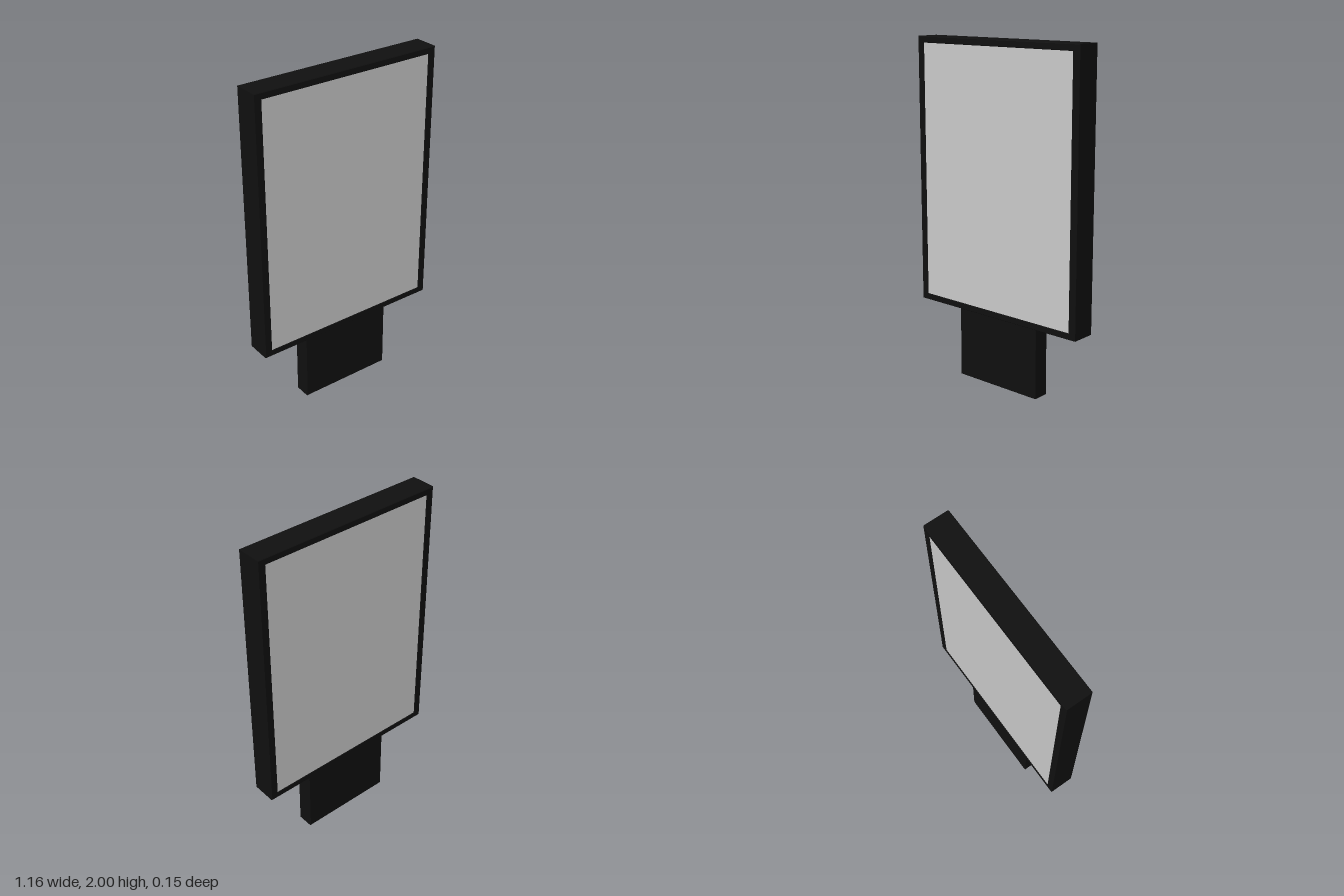
import * as THREE from 'three';

// Rectangle outline centred on x = 0
function trace(path, halfW, y0, y1) {
  path.moveTo(-halfW, y0);
  path.lineTo(halfW, y0);
  path.lineTo(halfW, y1);
  path.lineTo(-halfW, y1);
  path.closePath();
  return path;
}

// Extrusion centred on z = 0 with a fine chamfer that keeps the outer size
function slab(shape, depth, bevel) {
  const geometry = new THREE.ExtrudeGeometry(shape, {
    depth: depth - 2 * bevel,
    bevelEnabled: true,
    bevelThickness: bevel,
    bevelSize: bevel,
    bevelOffset: -bevel,
    bevelSegments: 1,
  });
  return geometry.translate(0, 0, -depth / 2 + bevel);
}

export function createModel() {
  const group = new THREE.Group();
  const black = new THREE.MeshStandardMaterial({ color: 0x101010 });
  const grey = new THREE.MeshStandardMaterial({ color: 0xcccccc });

  const add = (name, geometry, material) => {
    const mesh = new THREE.Mesh(geometry, material);
    mesh.name = name;
    group.add(mesh);
    return mesh;
  };

  // Rectangular frame open through the middle
  const outline = trace(new THREE.Shape(), 0.58, 0.425, 2);
  outline.holes.push(trace(new THREE.Path(), 0.535, 0.462, 1.963));
  add('frame', slab(outline, 0.15, 0.003), black);

  // Poster panels, one on each face, set just inside the frame
  for (const [name, side] of [['frontPanel', 1], ['backPanel', -1]]) {
    const panel = add(name, new THREE.BoxGeometry(1.08, 1.511, 0.01), grey);
    panel.position.set(0, 1.2125, side * 0.067);
  }

  // Wide flat foot
  add('base', slab(trace(new THREE.Shape(), 0.288, 0, 0.43), 0.1, 0.003), black);

  return group;
}
